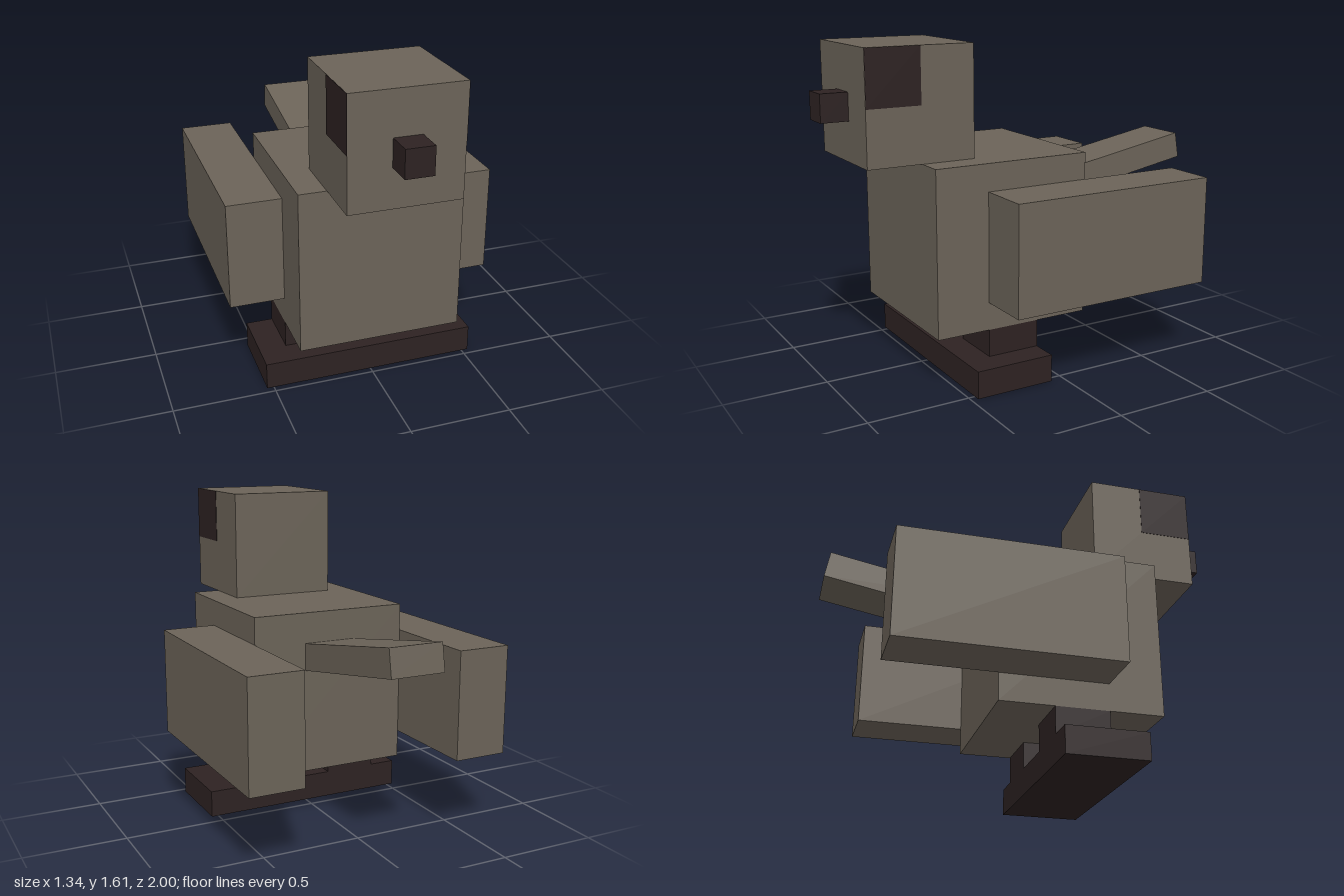
import * as THREE from 'three';

export function createModel() {
  const model = new THREE.Group();
  model.name = 'blockBird';

  const feathers = new THREE.MeshStandardMaterial({ name: 'grey brown feathers', color: 0x6b6358 });
  const dark = new THREE.MeshStandardMaterial({ name: 'dark brown', color: 0x2d2222 });

  // Box given by its [min, max] extents on each axis
  function block(name, material, [x0, x1], [y0, y1], [z0, z1]) {
    const mesh = new THREE.Mesh(new THREE.BoxGeometry(x1 - x0, y1 - y0, z1 - z0), material);
    mesh.position.set((x0 + x1) / 2, (y0 + y1) / 2, (z0 + z1) / 2);
    mesh.name = name;
    model.add(mesh);
    return mesh;
  }

  // Same box on both sides of the body
  function pair(name, material, [x0, x1], y, z) {
    block('left' + name, material, [x0, x1], y, z);
    block('right' + name, material, [-x1, -x0], y, z);
  }

  // Body, head and beak
  block('body', feathers, [-0.4, 0.4], [0.268, 1.07], [-0.2, 0.6]);
  block('head', feathers, [-0.267, 0.267], [1.07, 1.605], [0.333, 0.867]);
  block('beak', dark, [-0.067, 0.067], [1.26, 1.393], [0.867, 1]);

  // Thin eye plates on the sides of the head
  pair('Eye', dark, [0.265, 0.269], [1.338, 1.604], [0.6, 0.866]);

  // Wings and legs
  pair('Wing', feathers, [0.4, 0.668], [0.403, 0.937], [-0.735, 0.333]);
  pair('Leg', dark, [0.134, 0.4], [0.134, 0.268], [0.067, 0.333]);

  // Feet meet in the middle as one slab
  block('feet', dark, [-0.534, 0.534], [0, 0.134], [0.067, 0.467]);

  // Tail, raised ten degrees, its root sunk into the body
  const tail = new THREE.Mesh(new THREE.BoxGeometry(0.266, 0.133, 0.9), feathers);
  tail.name = 'tail';
  tail.position.set(0, 0.912, -0.545);
  tail.rotation.x = THREE.MathUtils.degToRad(10);
  model.add(tail);

  return model;
}
